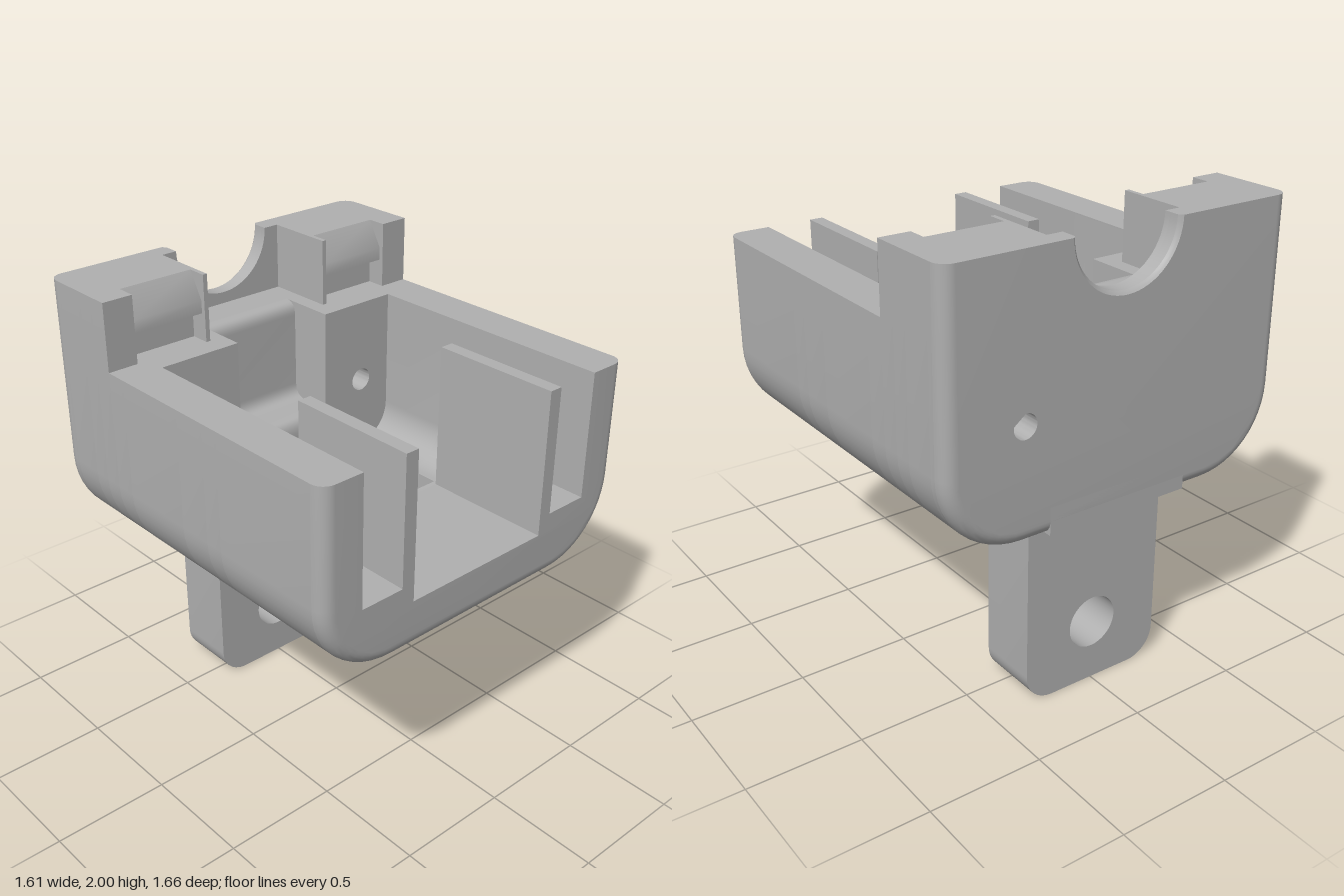
import * as THREE from 'three';
import { toCreasedNormals } from 'three/addons/utils/BufferGeometryUtils.js';

// Main sizes: half width, underside, corner radius, low rim, high rim, cavity floor, edge fillet
const W = 0.805, B = 0.855, R = 0.35, LOW = 1.71, HIGH = 2, FLOOR = 1.02, F = 0.06;
const CX = 0.617, CR = 0.16, NOTCH = 0.24;

// Arc points around (cx, cy)
function arc(cx, cy, r, a0, a1, n = 12) {
  return Array.from({ length: n + 1 }, (_, i) => {
    const a = a0 + (a1 - a0) * i / n;
    return [cx + r * Math.cos(a), cy + r * Math.sin(a)];
  });
}
const toShape = pts => new THREE.Shape(pts.map(p => new THREE.Vector2(p[0], p[1])));
const mirrored = half => [...half, ...half.slice().reverse().map(([x, y]) => [-x, y])];

const outerLeft = top => [[-W, top], ...arc(-W + R, B + R, R, Math.PI, 1.5 * Math.PI)];
const outerRight = top => [...arc(W - R, B + R, R, 1.5 * Math.PI, 2 * Math.PI), [W, top]];

// U-shaped body section whose top edge follows the contour from right to left
function section(top, contour, pinHole = false) {
  const shape = toShape([...outerLeft(top), ...outerRight(top), ...contour]);
  if (pinHole) shape.holes.push(new THREE.Path().absarc(0.455, 1.34, 0.052, 0, Math.PI * 2, true));
  return shape;
}

// Rounds the outer edge of an end slice; dir +1 is the front end, -1 the back end
function roundEnd(geo, dir) {
  const p = geo.attributes.position;
  for (let i = 0; i < p.count; i++) {
    let x = p.getX(i), y = p.getY(i);
    const t = dir > 0 ? p.getZ(i) / F : 1 - p.getZ(i) / F;
    const out = F * Math.sin(t * Math.PI / 2);
    const inset = F * (1 - Math.cos(t * Math.PI / 2));
    const side = Math.sign(x), ax = Math.abs(x);
    const dx = ax - (W - R), dy = y - (B + R), d = Math.hypot(dx, dy);
    if (dx > 0 && dy < 0 && Math.abs(d - R) < 1e-3) {
      x = side * (W - R + dx * (R - inset) / R);
      y = B + R + dy * (R - inset) / R;
    } else if (ax > W - 1e-3) x -= side * inset;
    else if (y < B + 1e-3) y += inset;
    else if (dir < 0 && Math.abs(Math.hypot(x, y - HIGH) - NOTCH) < 1e-3) {
      // small flare on the cable notch
      const k = 1 + Math.max(0, out - 0.045) / NOTCH;
      x *= k;
      y = HIGH + (y - HIGH) * k;
    }
    p.setXYZ(i, x, y, dir > 0 ? out : F - out);
  }
}

export function createModel() {
  const group = new THREE.Group();
  const grey = new THREE.MeshStandardMaterial({ color: 0xb0b0b0 });
  grey.name = 'grey plastic';

  function add(name, geo) {
    const mesh = new THREE.Mesh(toCreasedNormals(geo, 0.55), grey);
    mesh.name = name;
    group.add(mesh);
  }
  // Extrude a front-view shape between two depths
  function slice(name, shape, z0, z1, end = 0) {
    const geo = new THREE.ExtrudeGeometry(shape, {
      depth: z1 - z0, steps: end ? 8 : 1, bevelEnabled: false, curveSegments: 24,
    });
    if (end) roundEnd(geo, end);
    add(name, geo.translate(0, 0, z0));
  }
  // Extrude a side-view shape (z, y) between two x positions
  function across(name, shape, x0, x1) {
    const geo = new THREE.ExtrudeGeometry(shape, { depth: x1 - x0, bevelEnabled: false, curveSegments: 10 });
    add(name, geo.rotateY(-Math.PI / 2).translate(x1, 0, 0));
  }

  // Front section with three slots, leaving two upright fins
  const slots = mirrored([[CX, LOW], [CX, 1.15], [0.415, 1.15], [0.415, LOW], [0.355, LOW], [0.355, 1.07]]);
  slice('frontEnd', section(LOW, slots), 0.83 - F, 0.83, 1);
  slice('slottedFront', section(LOW, slots), 0.25, 0.83 - F);

  // Open cavity with rounded floor corners and a window in the floor
  const cavityRight = [[CX, LOW], ...arc(CX - CR, FLOOR + CR, CR, 0, -Math.PI / 2)];
  const cavityLeft = mirrored(cavityRight).slice(cavityRight.length);
  const cavity = [...cavityRight, ...cavityLeft];
  slice('cavityFront', section(LOW, cavity), 0.165, 0.25);
  slice('cavityBack', section(LOW, cavity), -0.34, 0.01);
  slice('windowLeftSide', toShape([[0.435, B], ...outerRight(LOW), ...cavityRight, [0.435, FLOOR]]), 0.01, 0.165);
  slice('windowRightSide', toShape([...outerLeft(LOW), [0.2, B], [0.165, FLOOR], ...cavityLeft]), 0.01, 0.165);

  // Solid rear sections around the curved channel
  const channel = [[NOTCH, LOW], [NOTCH, 1.18]];
  slice('channelFront', section(LOW, mirrored(channel), true), -0.435, -0.34);
  slice('latchSection', section(HIGH, mirrored([
    [0.67, HIGH], [0.67, LOW], [0.33, LOW], [0.33, HIGH], [0.31, HIGH], [0.31, LOW], ...channel,
  ]), true), -0.52, -0.435);
  slice('channelBack', section(HIGH, mirrored([[0.31, HIGH], [0.31, LOW], ...channel]), true), -0.6, -0.52);
  slice('recess', section(HIGH, mirrored([[0.31, HIGH], [0.31, LOW]]), true), -0.745, -0.6);

  // Back wall with half-round cable notch
  const notch = arc(0, HIGH, NOTCH, 0, -Math.PI, 32);
  slice('backWall', section(HIGH, notch, true), -0.83 + F, -0.745);
  slice('backEnd', section(HIGH, notch, true), -0.83, -0.83 + F, -1);

  // Curved ramp filling the channel
  const ramp = new THREE.Shape();
  ramp.moveTo(-0.34, 1.18);
  ramp.quadraticCurveTo(-0.34, 1.255, -0.39, 1.255);
  ramp.lineTo(-0.48, 1.255);
  ramp.quadraticCurveTo(-0.545, 1.255, -0.545, 1.32);
  ramp.lineTo(-0.545, 1.65);
  ramp.quadraticCurveTo(-0.545, LOW, -0.6, LOW);
  ramp.lineTo(-0.6, 1.18);
  across('channelRamp', ramp, -NOTCH, NOTCH);

  // Snap latches with sloped lead-in and undercut
  const latch = toShape([[-0.52, 1.8], [-0.455, 1.83], [-0.455, 1.885], [-0.52, HIGH]]);
  across('leftLatch', latch, 0.33, 0.67);
  across('rightLatch', latch, -0.67, -0.33);

  // Mounting tab with bolt hole
  const tw = 0.335, tr = 0.13;
  const tab = toShape([
    [-tw, 0.95], ...arc(-tw + tr, tr, tr, Math.PI, 1.5 * Math.PI),
    ...arc(tw - tr, tr, tr, 1.5 * Math.PI, 2 * Math.PI), [tw, 0.95],
  ]);
  tab.holes.push(new THREE.Path().absarc(0, 0.275, 0.117, 0, Math.PI * 2, true));
  slice('mountingTab', tab, -0.695, -0.425);

  // Square foot behind the tab
  add('tabFoot', new THREE.BoxGeometry(tw * 2, 0.12, 0.135).translate(0, B + 0.06, -0.7625));

  return group;
}
